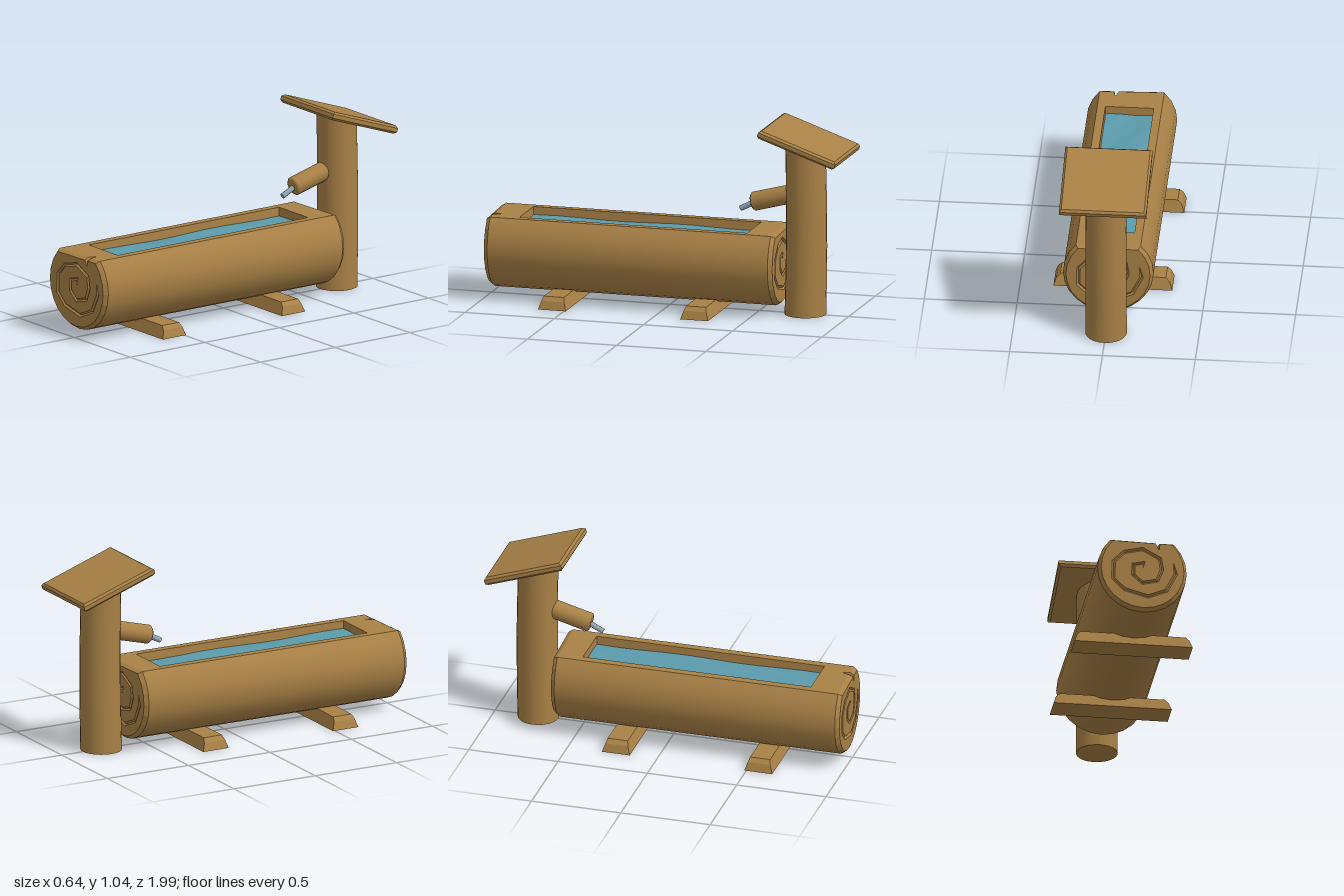
import * as THREE from 'three';

const wood = new THREE.MeshStandardMaterial({ color: 0xa98146 });
const metal = new THREE.MeshStandardMaterial({ color: 0x93a5b5 });
const waterBlue = new THREE.MeshStandardMaterial({ color: 0x5b9bab });

function add(parent, name, geometry, material = wood) {
  const mesh = new THREE.Mesh(geometry, material);
  mesh.name = name;
  parent.add(mesh);
  return mesh;
}

// Skin between successive rows of points [x, y, z]
function loft(rows, { closed = false, flat = true } = {}) {
  const n = rows[0].length;
  const index = [];
  for (let r = 0; r < rows.length - 1; r++) {
    for (let i = 0; i < (closed ? n : n - 1); i++) {
      const j = (i + 1) % n;
      const a = r * n + i, b = r * n + j, c = b + n, d = a + n;
      index.push(a, b, c, a, c, d);
    }
  }
  let g = new THREE.BufferGeometry();
  g.setAttribute('position', new THREE.Float32BufferAttribute(rows.flat(2), 3));
  g.setIndex(index);
  if (flat) g = g.toNonIndexed();
  g.computeVertexNormals();
  return g;
}

const toShape = (pts) => new THREE.Shape(pts.map(([x, y]) => new THREE.Vector2(x, y)));
const rect = (hx, hz, y, cz = 0) =>
  [[hx, y, cz + hz], [hx, y, cz - hz], [-hx, y, cz - hz], [-hx, y, cz + hz]];

// Log dimensions
const CY = 0.285, R = 0.243, TOP = 0.455, FRONT = 0.985, BACK = -0.63;
const BEVEL = 0.022, INSET = 0.93, SLANT = 0.04;
const half = Math.asin((TOP - CY) / R);
const arc = [];
for (let i = 0; i <= 18; i++) {
  const t = Math.PI - half + (i / 18) * (Math.PI + 2 * half);
  arc.push([R * Math.cos(t), CY + R * Math.sin(t)]);
}
const inset = arc.map(([x, y]) => [x * INSET, CY + (y - CY) * INSET]);
const insetTop = CY + (TOP - CY) * INSET;
const slanted = (pts, z) => pts.map(([x, y, dz = 0]) => [x, y, z + dz - SLANT * x]);

// Rim points of the cut, right to left; the notch is a crack in the rim
const rimNotch = [[0.098, TOP], [0.085, TOP, -0.045], [0.07, TOP]];
const faceNotch = [[0.095, insetTop], [0.09, 0.405], [0.072, insetTop]];

const spiral = [[0, 0.285], [0.01, 0.325], [-0.05, 0.31], [-0.052, 0.25], [0, 0.205], [0.08, 0.225],
  [0.105, 0.29], [0.095, 0.355], [0, 0.405], [-0.1, 0.38], [-0.158, 0.32], [-0.16, 0.22],
  [-0.1, 0.16], [0.03, 0.127], [0.13, 0.17], [0.18, 0.27], [0.168, 0.34]];

// Sawn end of the log with bevelled rim and a carved growth-ring spiral
function logEnd(name, cracked) {
  const end = new THREE.Group();
  end.name = name;
  const outer = cracked ? [...arc, ...rimNotch] : arc;
  const inner = cracked ? [...inset, ...faceNotch] : inset;
  add(end, 'rimBevel', loft([slanted(outer, -BEVEL), slanted(inner, 0)], { closed: true }));

  // Groove edges either side of the spiral line, tapering out at both ends
  const side = (w) => spiral.map(([x, y], i) => {
    if (i === 0 || i === spiral.length - 1) return [x, y];
    const [ax, ay] = spiral[i - 1], [bx, by] = spiral[i + 1];
    const l = Math.hypot(bx - ax, by - ay);
    return [x - (w * (by - ay)) / l, y + (w * (bx - ax)) / l];
  });
  const left = side(0.01), right = side(-0.01);
  const face = toShape(inner);
  face.holes.push(toShape([...left, ...right.slice(1, -1).reverse()]));
  const faceGeometry = new THREE.ShapeGeometry(face);
  const p = faceGeometry.attributes.position;
  for (let i = 0; i < p.count; i++) p.setZ(i, -SLANT * p.getX(i));
  faceGeometry.computeVertexNormals();
  add(end, 'endFace', faceGeometry);
  const bottom = spiral.map(([x, y], i) => [x, y, i && i < spiral.length - 1 ? -0.009 : 0]);
  add(end, 'spiralGroove', loft([slanted(right, 0), slanted(bottom, 0), slanted(left, 0)]));
  return end;
}

function trough() {
  const g = new THREE.Group();
  g.name = 'trough';
  add(g, 'logBark', loft([slanted(arc, BACK + BEVEL), slanted(arc, FRONT - BEVEL)], { flat: false }));
  const front = logEnd('frontEnd', true);
  front.position.z = FRONT;
  const back = logEnd('backEnd', false);
  back.position.z = BACK;
  back.rotation.y = Math.PI;
  g.add(front, back);

  // Flat top with the basin opening
  const bx = 0.13, bz = 0.6375, cz = 0.1675, w = arc[18][0];
  const outline = [
    ...slanted([[w, TOP], ...rimNotch, [-w, TOP]], FRONT - BEVEL),
    ...slanted([[-w, TOP], [w, TOP]], BACK + BEVEL),
  ];
  const top = toShape(outline.map(([x, , z]) => [x, -z]));
  top.holes.push(toShape(rect(bx, bz, 0, cz).map(([x, , z]) => [x, -z])));
  add(g, 'topFace', new THREE.ShapeGeometry(top).rotateX(-Math.PI / 2).translate(0, TOP, 0));
  add(g, 'basinWalls', loft(
    [rect(bx, bz, TOP, cz), rect(bx - 0.003, bz - 0.003, 0.39, cz)], { closed: true }));

  // Gently rippled water
  const water = new THREE.PlaneGeometry(bx * 2, bz * 2, 3, 10).rotateX(-Math.PI / 2);
  const p = water.attributes.position;
  for (let i = 0; i < p.count; i++) {
    p.setY(i, 0.004 * Math.sin(p.getX(i) * 23 + p.getZ(i) * 9));
  }
  water.translate(0, 0.41, cz);
  const flatWater = water.toNonIndexed();
  flatWater.computeVertexNormals();
  add(g, 'water', flatWater, waterBlue);
  return g;
}

// Tapered beams under the log
function foot(name, z) {
  const rows = [[0, 0, 0], [0.32, 0.078, 0], [0.305, 0.063, 0.045], [0.284, 0.056, 0.067], [0, 0, 0.067]]
    .map(([hx, hz, y]) => rect(hx, hz, y));
  const mesh = new THREE.Mesh(loft(rows, { closed: true }), wood);
  mesh.name = name;
  mesh.position.z = z;
  return mesh;
}

function post() {
  const g = new THREE.Group();
  g.name = 'pumpPost';
  const tilt = 0.335;

  // Trunk bulges slightly to the back; its top follows the roof slope
  const trunk = new THREE.CylinderGeometry(0.109, 0.112, 1, 24, 5).translate(0, 0.5, 0);
  const p = trunk.attributes.position;
  for (let i = 0; i < p.count; i++) {
    const t = p.getY(i), z = p.getZ(i);
    p.setY(i, t * (0.94 + t * z * Math.tan(tilt)));
    p.setZ(i, z - 0.007 * Math.sin(Math.PI * t));
  }
  trunk.computeVertexNormals();
  add(g, 'trunk', trunk).position.z = -0.758;

  // Sloping board with chamfered edges
  const b = 0.012, hx = 0.235 - b, hz = 0.228 - b;
  const board = new THREE.ExtrudeGeometry(
    toShape([[-hx, -hz], [hx, -hz], [hx, hz], [-hx, hz]]),
    { depth: 0.046 - 2 * b, bevelThickness: b, bevelSize: b, bevelSegments: 1 });
  board.translate(0, 0, b - 0.023).rotateX(-Math.PI / 2);
  const roof = add(g, 'roofBoard', board);
  roof.position.set(0, 0.952, -0.775);
  roof.rotation.x = -tilt;

  // Wooden spout and metal nozzle, each pointing forward and down
  const profile = [[0, 0], [0.042, 0], [0.052, -0.01], [0.052, -0.28]];
  const spoutGeometry = new THREE.LatheGeometry(
    profile.reverse().map(([r, y]) => new THREE.Vector2(r, y)), 16).rotateX(Math.PI / 2);
  const spout = add(g, 'spout', spoutGeometry);
  spout.position.set(0, 0.598, -0.462);
  spout.rotation.x = 0.26;
  const nozzle = add(g, 'nozzle',
    new THREE.CylinderGeometry(0.015, 0.015, 0.13, 8).rotateX(Math.PI / 2), metal);
  nozzle.position.set(0, 0.586, -0.453);
  nozzle.rotation.x = 0.46;
  return g;
}

export function createModel() {
  const model = new THREE.Group();
  model.name = 'waterTrough';
  model.add(trough(), foot('frontFoot', 0.567), foot('backFoot', -0.23), post());
  return model;
}
